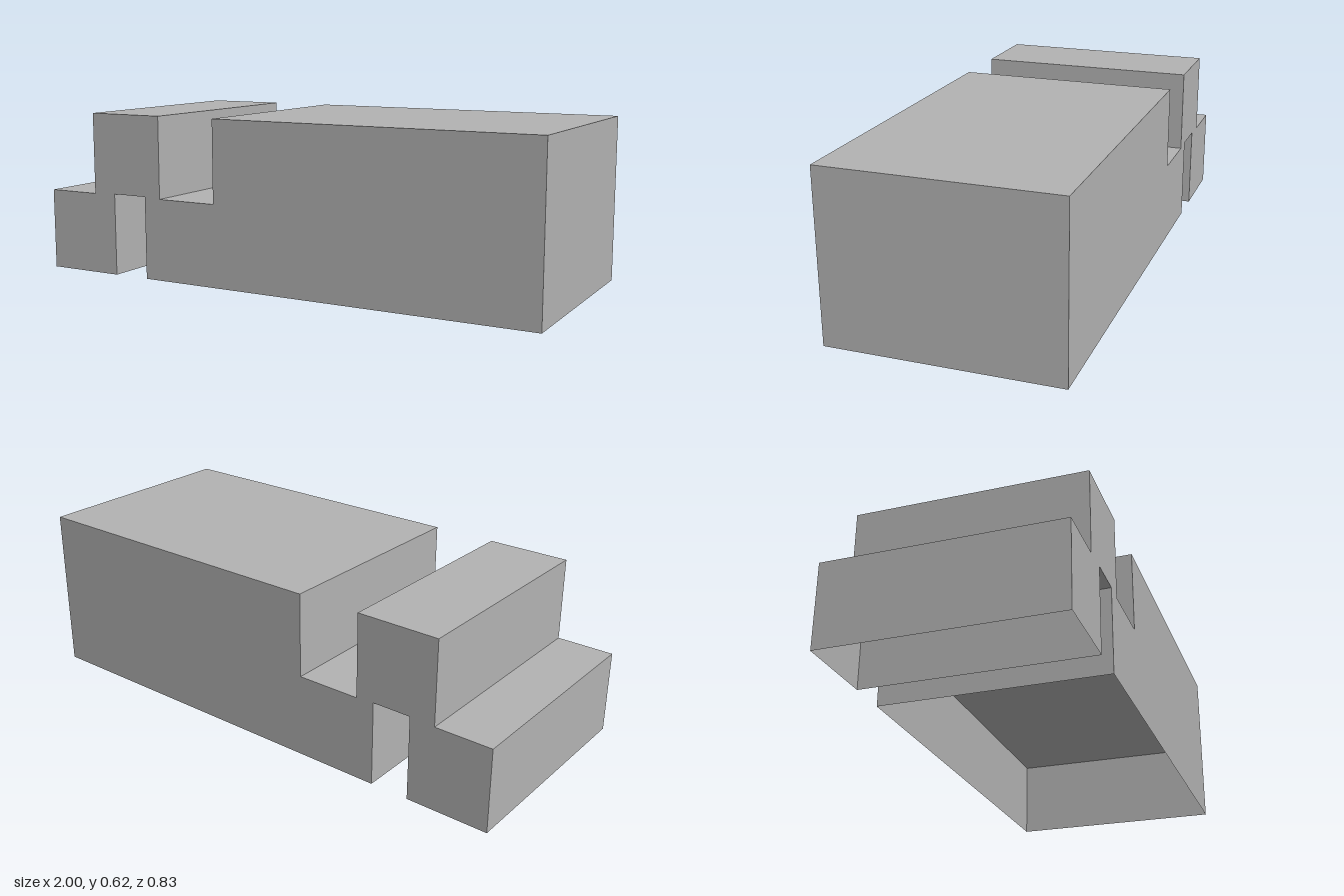
import * as THREE from 'three';

export function createModel() {
  const group = new THREE.Group();
  const grey = new THREE.MeshStandardMaterial({ color: 0xb2b2b2, side: THREE.DoubleSide });
  grey.name = 'plain grey';

  const halfDepth = 0.417;
  const stepY = 0.31, topY = 0.62, notchY = 0.314;

  const add = (name, geometry) => {
    const mesh = new THREE.Mesh(geometry, grey);
    mesh.name = name;
    group.add(mesh);
    return mesh;
  };

  // Stepped side profile, counter-clockwise from the lower left corner
  const profile = [
    [-1, 0], [-0.692, 0], [-0.692, notchY], [-0.547, notchY], [-0.547, 0], [1, 0],
    [1, topY], [-0.237, topY], [-0.237, stepY], [-0.478, stepY],
    [-0.478, topY], [-0.787, topY], [-0.787, stepY], [-1, stepY],
  ].map(([x, y]) => new THREE.Vector2(x, y));

  // Thin front and back walls
  const sideShape = new THREE.Shape(profile);
  add('frontWall', new THREE.ShapeGeometry(sideShape)).position.z = halfDepth;
  const back = add('backWall', new THREE.ShapeGeometry(sideShape));
  back.position.z = -halfDepth;
  back.geometry.scale(-1, 1, 1);
  back.rotation.y = Math.PI;

  // One sheet across the depth, between two profile points, facing outwards
  const sheet = (name, a, b) => {
    const geometry = new THREE.PlaneGeometry(a.distanceTo(b), 2 * halfDepth);
    geometry.rotateX(Math.PI / 2);
    geometry.rotateZ(Math.atan2(b.y - a.y, b.x - a.x));
    geometry.translate((a.x + b.x) / 2, (a.y + b.y) / 2, 0);
    add(name, geometry);
  };

  // Steps, ends and notch walls; the underside stays open
  profile.forEach((a, i) => {
    const b = profile[(i + 1) % profile.length];
    if (a.y === 0 && b.y === 0) return;
    sheet(a.y === b.y ? 'stepTop' : 'stepRiser', a, b);
  });

  // Inner ceilings of the two hollow lower parts
  for (const [x0, x1] of [[-0.787, -0.692], [-0.547, -0.478], [-0.237, 1]]) {
    sheet('innerCeiling', new THREE.Vector2(x0, stepY), new THREE.Vector2(x1, stepY));
  }

  return group;
}
